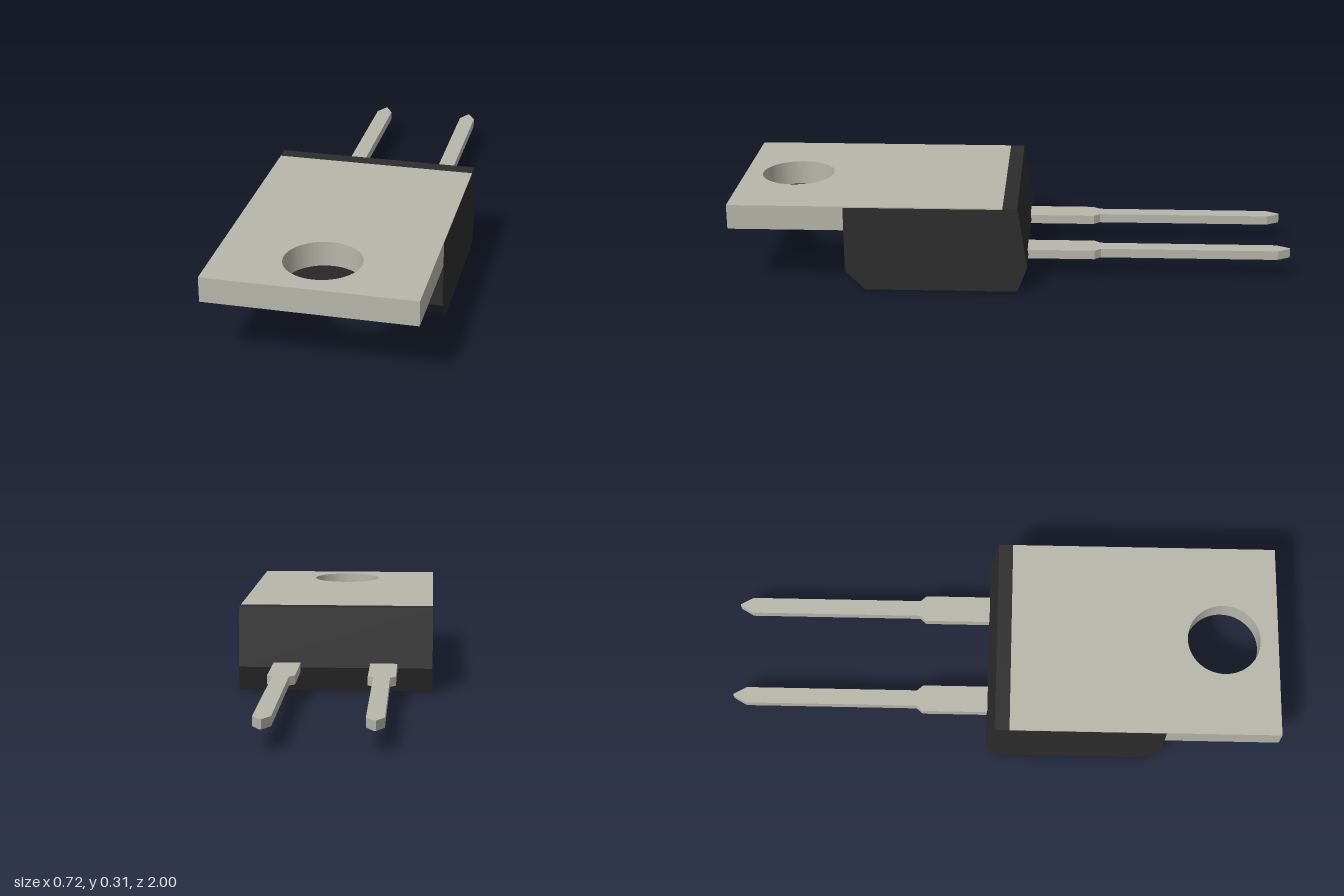
import * as THREE from 'three';

const W = 0.359;      // half width
const TOP = 0.3125;   // height of the mounting face

const shapeOf = (pts) => new THREE.Shape(pts.map(([a, b]) => new THREE.Vector2(a, b)));

// Plate from an outline in x and z, its top face at the given height
function plate(shape, top, thickness) {
  const g = new THREE.ExtrudeGeometry(shape, { depth: thickness, bevelEnabled: false, curveSegments: 32 });
  return g.rotateX(Math.PI / 2).translate(0, top, 0);
}

export function createModel() {
  const metal = new THREE.MeshStandardMaterial({ color: 0xb8b7ab });
  metal.name = 'tinned metal';
  const plastic = new THREE.MeshStandardMaterial({ color: 0x2d2d2d });
  plastic.name = 'black plastic';

  const model = new THREE.Group();
  model.name = 'powerComponent';
  const add = (name, geometry, material) => {
    const mesh = new THREE.Mesh(geometry, material);
    mesh.name = name;
    model.add(mesh);
  };

  // Moulded body: side profile in z and y, with a shallow recess on top
  const profile = shapeOf([
    [0.59, TOP - 0.004], [0.03, TOP - 0.004], [0.03, TOP], [-0.022, TOP],
    [-0.057, 0.092], [-0.022, 0], [0.52, 0], [0.59, 0.071],
  ]);
  const body = new THREE.ExtrudeGeometry(profile, { depth: 2 * W, bevelEnabled: false });
  add('body', body.rotateY(-Math.PI / 2).translate(W, 0, 0), plastic);

  // Metal face lying in the recess
  add('mountingFace', plate(shapeOf([[-W, 0.03], [W, 0.03], [W, 0.59], [-W, 0.59]]), TOP, 0.004), metal);

  // Protruding tab with its screw hole
  const tab = shapeOf([[-W, 0.59], [W, 0.59], [W, 1], [-W, 1]]);
  const hole = new THREE.Path();
  hole.absarc(0, 0.803, 0.132, 0, Math.PI * 2, true);
  tab.holes.push(hole);
  add('mountingTab', plate(tab, TOP, 0.0885), metal);

  // Two stepped, pointed leads
  const half = [[0.05, -0.02], [0.05, -0.295], [0.03, -0.318], [0.03, -0.953], [0.003, -1]];
  const outline = [...half, ...half.map(([x, z]) => [-x, z]).reverse()];
  for (const [name, x] of [['leftLead', 0.179], ['rightLead', -0.179]]) {
    add(name, plate(shapeOf(outline), 0.109, 0.033).translate(x, 0, 0), metal);
  }
  return model;
}
